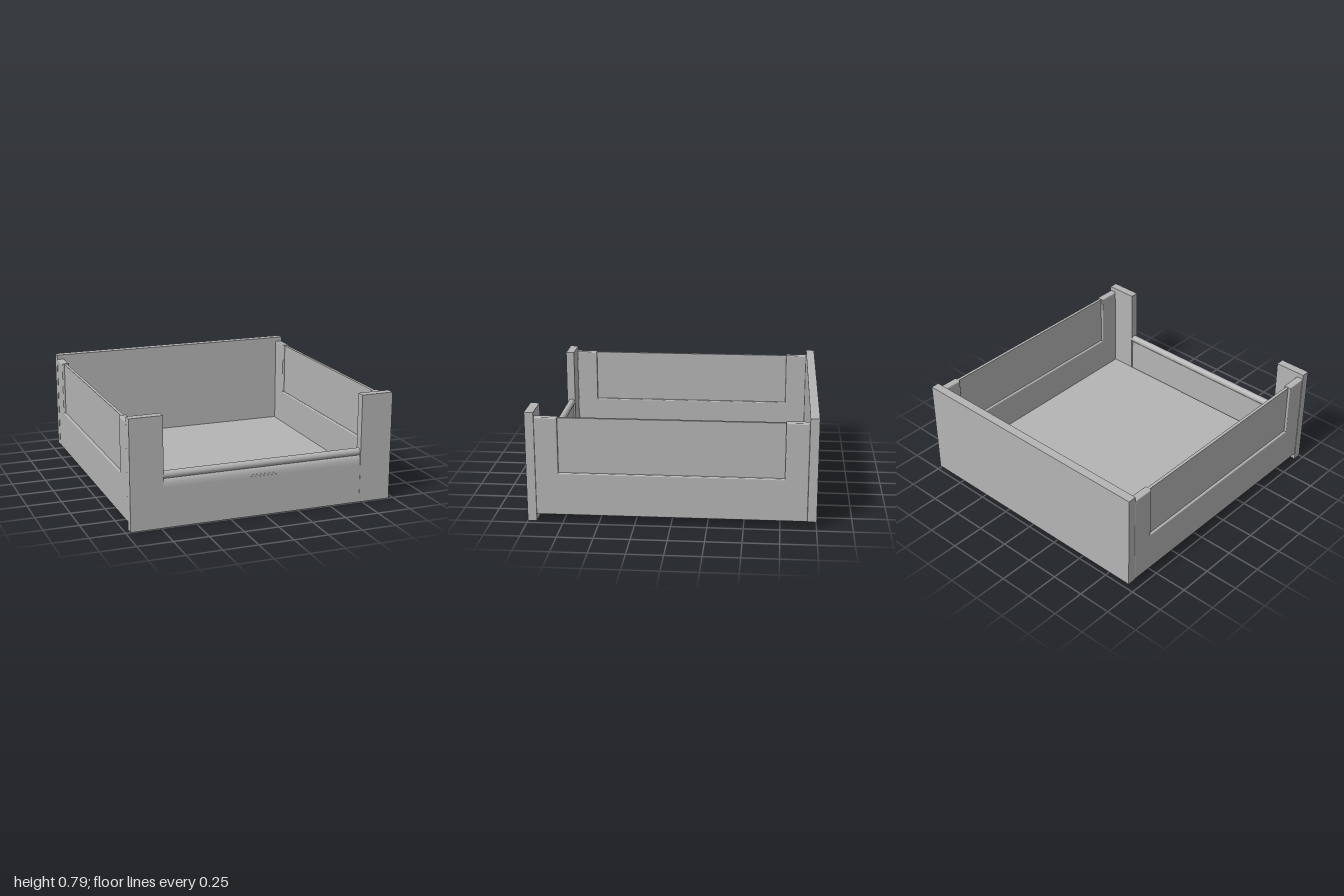
import * as THREE from 'three';

export function createModel() {
  const model = new THREE.Group();
  model.name = 'drawer';
  const grey = new THREE.MeshStandardMaterial({ color: 0xb4b4b4 });
  grey.name = 'satin grey';

  const add = (name, geometry) => {
    const mesh = new THREE.Mesh(geometry, grey);
    mesh.name = name;
    model.add(mesh);
    return mesh;
  };
  // Box given by its lower and upper limits on each axis
  const box = (name, [x0, x1], [y0, y1], [z0, z1]) => {
    const mesh = add(name, new THREE.BoxGeometry(x1 - x0, y1 - y0, z1 - z0));
    mesh.position.set((x0 + x1) / 2, (y0 + y1) / 2, (z0 + z1) / 2);
    return mesh;
  };

  // Floor and back
  box('floor', [-0.915, 0.915], [0.065, 0.095], [-0.937, 0.937]);
  box('backPanel', [-0.965, 0.965], [0.05, 0.787], [-1, -0.937]);

  // U-shaped side frame, drawn in the z-y plane
  const bevel = 0.008;
  const frame = new THREE.Shape();
  const ends = 0.937, inner = 0.777 + bevel, low = 0.05 + bevel, sill = 0.355 - bevel, top = 0.752 - bevel;
  frame.moveTo(-ends + bevel, low);
  frame.lineTo(ends - bevel, low);
  frame.lineTo(ends - bevel, top);
  frame.lineTo(inner, top);
  frame.lineTo(inner, sill);
  frame.lineTo(-inner, sill);
  frame.lineTo(-inner, top);
  frame.lineTo(-ends + bevel, top);
  frame.closePath();
  const depth = 0.055 - 2 * bevel;
  const frameGeometry = new THREE.ExtrudeGeometry(frame, {
    depth, bevelEnabled: true, bevelSize: bevel, bevelThickness: bevel, bevelSegments: 3,
  });
  frameGeometry.translate(0, 0, -depth / 2);
  frameGeometry.rotateY(-Math.PI / 2);

  for (const [side, s] of [['left', 1], ['right', -1]]) {
    add(side + 'SideFrame', frameGeometry).position.x = s * 0.9375;
    const pane = box(side + 'SidePane', [-0.011, 0.011], [0.34, 0.748], [-0.785, 0.785]);
    pane.position.x = s * 0.937;
    const post = box(side + 'FrontPost', [-0.1175, 0.1175], [0, 0.787], [0.937, 1]);
    post.position.x = s * 0.8475;
  }

  // Low front panel whose upper edge curves back under the rail
  const panel = new THREE.Shape();
  panel.moveTo(0.962, 0);
  panel.lineTo(0.998, 0);
  panel.lineTo(0.998, 0.28);
  panel.quadraticCurveTo(0.998, 0.33, 0.978, 0.345);
  panel.lineTo(0.95, 0.345);
  panel.lineTo(0.95, 0.05);
  panel.lineTo(0.962, 0.05);
  panel.closePath();
  const panelGeometry = new THREE.ExtrudeGeometry(panel, { depth: 1.466, bevelEnabled: false, curveSegments: 8 });
  panelGeometry.translate(0, 0, -0.733);
  panelGeometry.rotateY(-Math.PI / 2);
  add('frontPanel', panelGeometry);

  // Rounded rail along the top of the front panel
  const rail = add('frontRail', new THREE.CylinderGeometry(0.027, 0.027, 1.466, 24));
  rail.rotation.z = Math.PI / 2;
  rail.position.set(0, 0.368, 0.966);

  // Two fine ridges in the middle of the front panel
  box('upperRidge', [-0.09, 0.09], [0.298, 0.301], [0.99, 0.999]);
  box('lowerRidge', [-0.105, 0.105], [0.285, 0.288], [0.99, 1]);

  return model;
}
